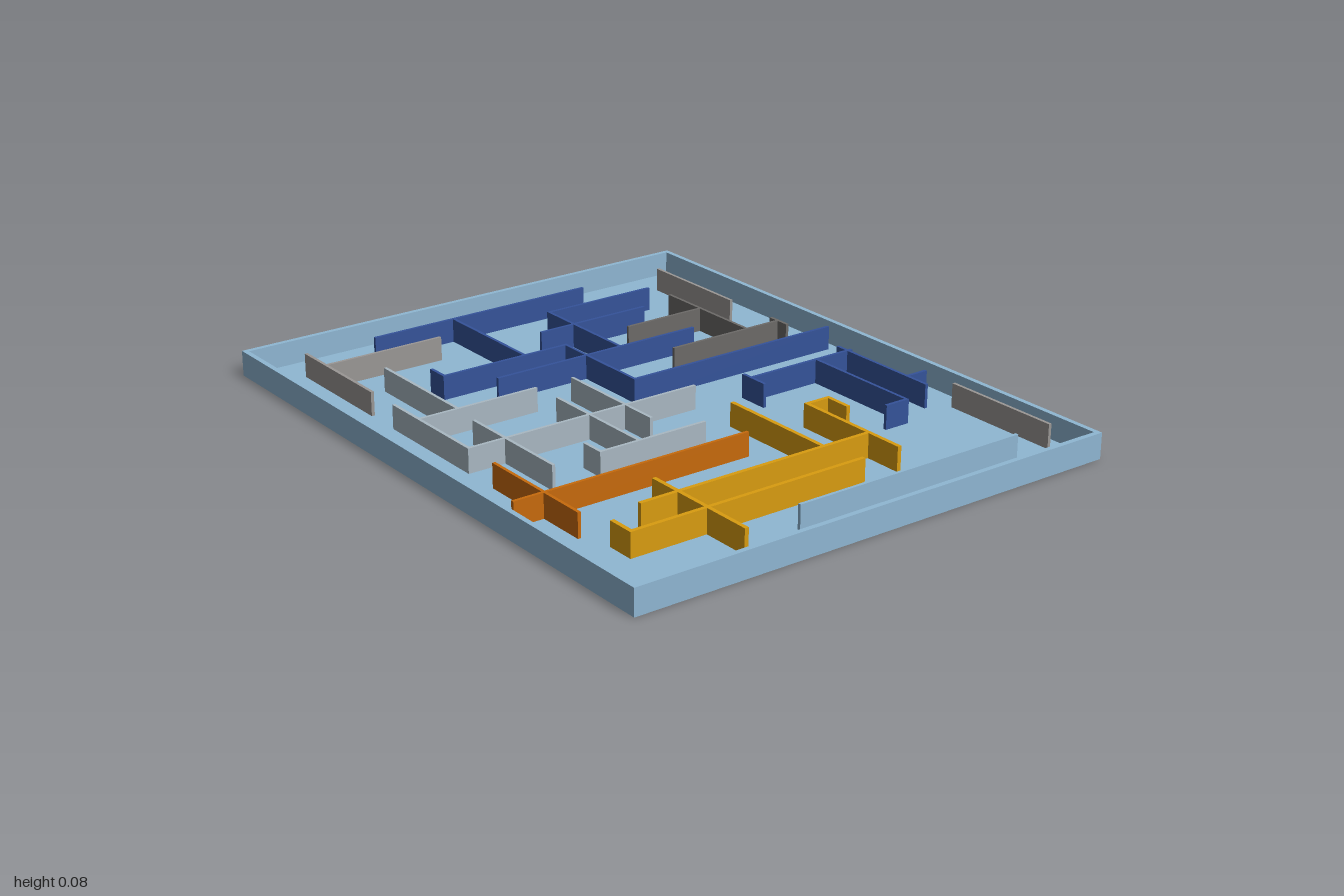
import * as THREE from 'three';

const WIDTH = 2, DEPTH = 1.61, HEIGHT = 0.08, RIM = 0.016, FLOOR = 0.005;
const BASE = 0.001; // walls start just above the underside

function rectangle(path, w, d) {
  path.moveTo(-w / 2, -d / 2);
  path.lineTo(w / 2, -d / 2);
  path.lineTo(w / 2, d / 2);
  path.lineTo(-w / 2, d / 2);
  path.closePath();
  return path;
}

// Tray: a thin floor inside a raised rim
function createTray() {
  const tray = new THREE.Group();
  tray.name = 'tray';
  const material = new THREE.MeshStandardMaterial({ color: 0x8fb7d3 });
  const innerW = WIDTH - 2 * RIM, innerD = DEPTH - 2 * RIM;

  const floor = new THREE.Mesh(new THREE.BoxGeometry(innerW, FLOOR, innerD), material);
  floor.name = 'trayFloor';
  floor.position.y = FLOOR / 2;

  const outline = rectangle(new THREE.Shape(), WIDTH, DEPTH);
  outline.holes.push(rectangle(new THREE.Path(), innerW, innerD));
  const rim = new THREE.Mesh(
    new THREE.ExtrudeGeometry(outline, { depth: HEIGHT, bevelEnabled: false }), material);
  rim.name = 'trayRim';
  rim.rotation.x = -Math.PI / 2;

  tray.add(floor, rim);
  return tray;
}

// Walls of one colour. A path is a start x, z followed by stops that turn a
// right angle each time; xPaths set off along x, zPaths along z.
function createWalls(name, color, thick, xPaths, zPaths) {
  const group = new THREE.Group();
  group.name = name + 's';
  const material = new THREE.MeshStandardMaterial({ color });

  const follow = (path, startsAlongX) => {
    let [x, z] = path;
    path.slice(2).forEach((stop, i) => {
      const alongX = startsAlongX === (i % 2 === 0);
      const endX = alongX ? stop : x, endZ = alongX ? z : stop;
      const wall = new THREE.Mesh(new THREE.BoxGeometry(
        Math.abs(endX - x) + thick, HEIGHT - BASE, Math.abs(endZ - z) + thick), material);
      wall.name = name;
      wall.position.set((x + endX) / 2, (HEIGHT + BASE) / 2, (z + endZ) / 2);
      group.add(wall);
      x = endX;
      z = endZ;
    });
  };
  xPaths.forEach((path) => follow(path, true));
  zPaths.forEach((path) => follow(path, false));
  return group;
}

export function createModel() {
  const model = new THREE.Group();
  model.name = 'mazeTray';
  model.add(
    createTray(),
    createWalls('blueWall', 0x35539a, 0.01,
      [[-0.86, 0.14, -0.46], [0.05, -0.665, 0.435], [0.06, -0.29, 0.15], [0.09, -0.54, 0.49, -0.465]],
      [[-0.105, -0.75, -0.01, -0.46, 0.425, -0.525], [-0.86, -0.35, 0.42], [-0.73, -0.52, -0.135, -0.35],
        [-0.595, -0.4, -0.015], [-0.35, -0.41, 0.305], [0.355, -0.735, -0.665], [0.09, -0.675, -0.29]]),
    createWalls('yellowWall', 0xd99c10, 0.013,
      [[0.425, -0.37, 0.345, -0.29, 0.73], [0.215, -0.125, 0.61], [0.51, 0.375, 0.89]],
      [[0.61, -0.29, 0.495], [0.735, -0.155, 0.62, 0.66]]),
    createWalls('orangeWall', 0xc76a0c, 0.01,
      [[0.17, 0.66, 0.56]], [[0.405, -0.02, 0.755]]),
    createWalls('paleWall', 0xa9b8c2, 0.01,
      [[-0.615, 0.53, -0.22], [-0.115, 0.54, 0.27], [-0.22, 0.13, 0.16], [-0.115, 0.255, 0.275]],
      [[0.04, -0.115, 0.66, -0.35], [-0.22, 0.265, 0.66], [0.275, 0.03, 0.385, 0.205]]),
    createWalls('greyWall', 0x9a9795, 0.01,
      [[-0.86, -0.665, -0.48], [0.485, -0.735, 0.865], [-0.86, 0.66, -0.48]],
      [[-0.745, 0.265, 0.66]]),
    createWalls('darkGreyWall', 0x6c6a68, 0.01,
      [[-0.27, -0.665, -0.2], [-0.63, -0.54, -0.24]],
      [[-0.24, -0.665, -0.26], [-0.475, -0.54, -0.26]]),
    createWalls('sideWall', 0x8fb7d3, 0.01, [], [[0.865, -0.605, 0.17]]),
  );
  return model;
}
